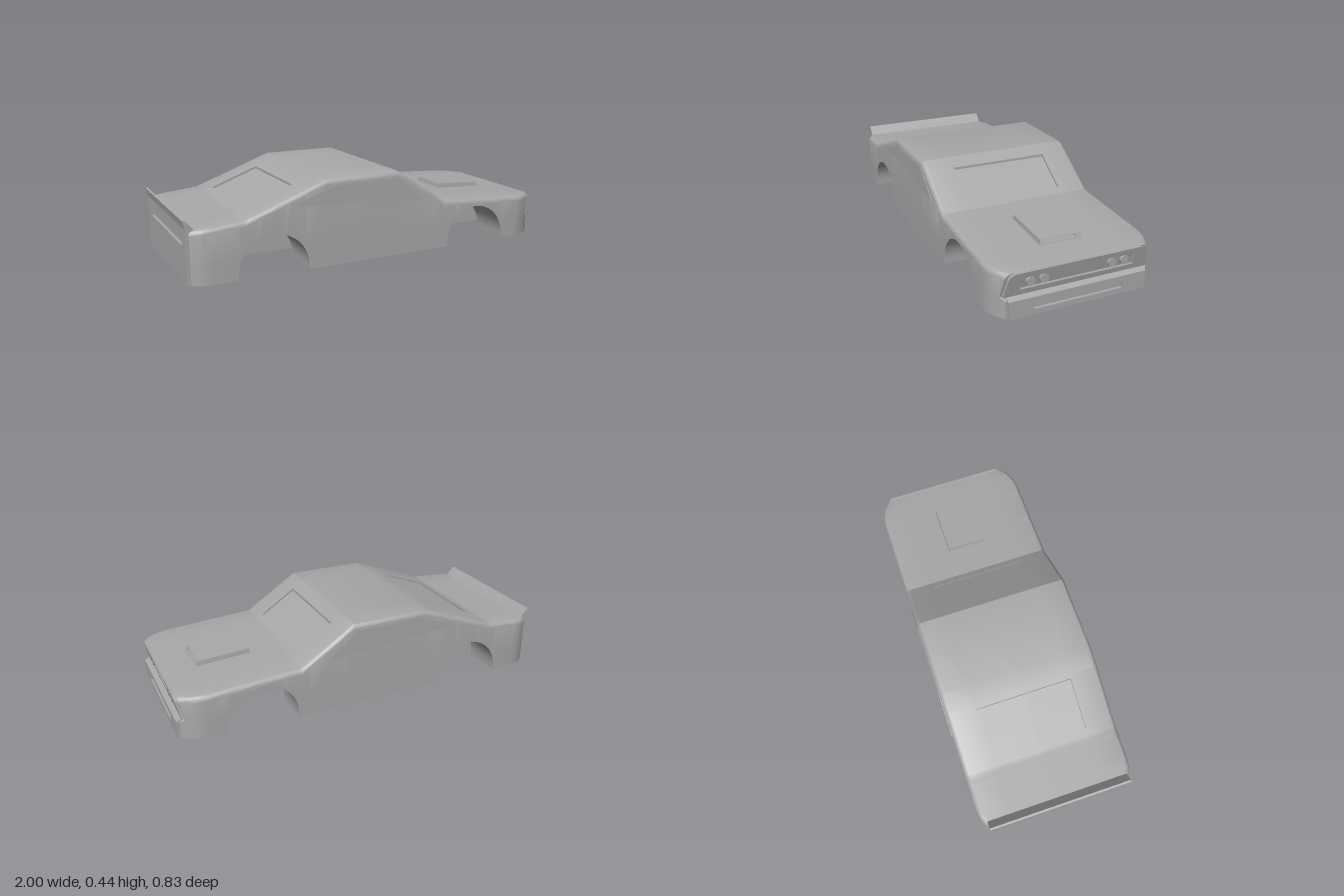
import * as THREE from 'three';
import { toCreasedNormals } from 'three/addons/utils/BufferGeometryUtils.js';

const paint = new THREE.MeshStandardMaterial({ color: 0xa8a8a8 });
paint.name = 'primer grey';

const ROOF = [[-1, 0.262], [-0.95, 0.264], [-0.72, 0.283], [-0.3, 0.437], [0.1, 0.437],
  [0.38, 0.255], [0.98, 0.217], [1, 0.215]];
const ARCHES = [-0.58, 0.585], ARCH_R = 0.18, ARCH_Y = 0.02;
const WINDOWS = [[-0.67, -0.42], [0.16, 0.345]];
const PANEL = 0.015; // thickness of the nose and tail panels

// piecewise linear lookup
function lerpTable(table, x) {
  for (let i = 1; i < table.length; i++) {
    const [x0, y0] = table[i - 1], [x1, y1] = table[i];
    if (x <= x1) return y0 + (y1 - y0) * (x - x0) / (x1 - x0);
  }
  return table[table.length - 1][1];
}
// half width in plan, drawn in at the nose and the tail
function halfWidth(x) {
  if (x > 0.85) return 0.41 - 0.065 * ((x - 0.85) / 0.15) ** 2;
  if (x < -0.88) return 0.41 - 0.045 * ((-0.88 - x) / 0.11) ** 2;
  return 0.41;
}
// lower edge of the body side, lifted over the wheels
function sillHeight(x) {
  for (const c of ARCHES) {
    const d = Math.abs(x - c);
    if (d < ARCH_R) return ARCH_Y + Math.sqrt(ARCH_R * ARCH_R - d * d);
  }
  return 0;
}
// outline of the nose seen from the side
const noseX = y => lerpTable([[0, 1], [0.085, 1], [0.1, 0.975], [0.215, 1]], y);

// half of one cross-section, from the floor centre out and up to the roof centre
function section(x, isNose) {
  const floor = Math.abs(x) < 0.92 ? 0.05 : 0;
  const sill = sillHeight(x), top = lerpTable(ROOF, x), r = 0.028;
  const dip = WINDOWS.some(([a, b]) => x > a && x < b) ? 0.012 : 0;
  const pts = [];
  const add = (y, inset, fixedZ) => {
    const px = isNose ? noseX(y) - PANEL : x;
    pts.push([px, y, fixedZ ?? halfWidth(px) - inset]);
  };
  add(floor, 0, 0);
  add(floor, 0, 0.2);
  add(sill, 0, 0.2);
  for (const y of [0, 0.085, 0.1]) add(Math.max(sill, y), 0);
  for (let i = 0; i <= 6; i++) {
    const a = i / 6 * Math.PI / 2;
    add(top - r + r * Math.sin(a), r - r * Math.cos(a));
  }
  add(top, 0, 0.255);
  add(top - dip, 0, 0.255);
  add(top - dip, 0, 0);
  return pts;
}

function bodyGeometry() {
  const e = 0.0004, xs = [-0.99 + PANEL, -0.95, -0.92, -0.88, -0.72, -0.3, 0.1, 0.38, 0.85, 0.88, 0.91, 0.935, 0.955, 1];
  for (const x of [-0.92, 0.92, ...WINDOWS.flat()]) xs.push(x - e, x + e);
  for (const c of ARCHES) {
    xs.push(c - ARCH_R - e, c + ARCH_R + e);
    for (let i = 0; i <= 24; i++) xs.push(c - (ARCH_R - e / 10) * Math.cos(i / 24 * Math.PI));
  }
  xs.sort((a, b) => a - b);
  const halves = xs.map((x, i) => section(x, i === xs.length - 1));
  const flip = ([x, y, z]) => [x, y, -z];
  const rings = halves.map(h => [...h, ...h.map(flip).reverse()]);

  const pos = [], A = new THREE.Vector3(), B = new THREE.Vector3(), C = new THREE.Vector3();
  const tri = (a, b, c) => {
    A.fromArray(a); B.fromArray(b).sub(A); C.fromArray(c).sub(A);
    if (B.cross(C).length() > 1e-10) pos.push(...a, ...b, ...c);
  };
  const quad = (a, b, c, d) => { tri(a, b, c); tri(a, c, d); };
  for (let i = 0; i < rings.length - 1; i++) {
    const p = rings[i], q = rings[i + 1];
    for (let k = 0; k < p.length; k++) {
      const n = (k + 1) % p.length;
      quad(p[k], q[k], q[n], p[n]);
    }
  }
  // close both ends
  const tail = halves[0], nose = halves[halves.length - 1];
  for (let k = 3; k < nose.length - 1; k++) {
    quad(flip(nose[k]), flip(nose[k + 1]), nose[k + 1], nose[k]);
    quad(tail[k], tail[k + 1], flip(tail[k + 1]), flip(tail[k]));
  }
  const g = new THREE.BufferGeometry();
  g.setAttribute('position', new THREE.Float32BufferAttribute(pos, 3));
  return toCreasedNormals(g, 0.5);
}

const polygon = pts => new THREE.Shape(pts.map(p => new THREE.Vector2(...p)));
const extrude = (shape, depth) => new THREE.ExtrudeGeometry(shape, { depth, bevelEnabled: false });
// symmetric end panel with a rectangular opening; outline is the right half, bottom to top
function endPanel(half, holeZ, holeY0, holeY1) {
  const shape = polygon([...half, ...half.map(([u, v]) => [-u, v]).reverse()]);
  shape.holes.push(new THREE.Path([[-holeZ, holeY0], [-holeZ, holeY1], [holeZ, holeY1], [holeZ, holeY0]]
    .map(p => new THREE.Vector2(...p))));
  return extrude(shape, PANEL);
}
// move each point in x by a rule of its height
function shiftX(g, rule) {
  const p = g.attributes.position;
  for (let i = 0; i < p.count; i++) p.setX(i, p.getX(i) + rule(p.getY(i)));
  g.computeVertexNormals();
  return g;
}

export function createModel() {
  const car = new THREE.Group();
  car.name = 'carBody';
  const add = (name, geometry, x = 0, y = 0, z = 0) => {
    const m = new THREE.Mesh(geometry, paint);
    m.name = name;
    m.position.set(x, y, z);
    car.add(m);
    return m;
  };

  add('bodyShell', bodyGeometry());

  // nose: bumper with air slot, leaning grille panel with lamp recess
  add('frontBumper', endPanel([[0.348, 0], [0.348, 0.087]], 0.227, 0.027, 0.061)
    .rotateY(Math.PI / 2), 1 - PANEL);
  add('bumperLedge', extrude(polygon([[0.95, 0.08], [1, 0.085], [0.975, 0.1], [0.95, 0.1]]), 0.7), 0, 0, -0.35);
  add('grillePanel', shiftX(endPanel([[0.364, 0.1], [0.347, 0.19], [0.338, 0.206], [0.318, 0.215]], 0.288, 0.127, 0.187)
    .rotateY(Math.PI / 2), y => noseX(y) - PANEL));
  for (const z of [0.238, 0.172, -0.172, -0.238]) {
    add('headlamp', new THREE.CylinderGeometry(0.021, 0.021, 0.024, 28).rotateZ(-Math.PI / 2), 0.977, 0.16, z);
  }

  // tail: panel with lamp recess and a raised lip
  add('tailPanel', endPanel([[0.367, 0], [0.367, 0.268]], 0.3, 0.175, 0.215)
    .rotateY(-Math.PI / 2), -0.99 + PANEL);
  add('spoilerLip', extrude(polygon([[-0.95, 0.25], [-0.95, 0.264], [-0.99, 0.31], [-1, 0.308], [-0.99, 0.265], [-0.985, 0.25]]), 0.746),
    0, 0, -0.373);

  // side windows
  const glass = polygon([[0.25, 0.272], [0.09, 0.405], [-0.26, 0.405], [-0.5, 0.325]]);
  for (const side of [1, -1]) {
    add(side > 0 ? 'sideWindowFront' : 'sideWindowBack', extrude(glass, 0.004), 0, 0, side * 0.411 - 0.002);
  }

  // bonnet scoop: solid cheeks either side of a slotted middle
  const cheek = polygon([[0.54, 0.22], [0.55, 0.268], [0.815, 0.252], [0.829, 0.215]]);
  const mouth = polygon([[0.54, 0.22], [0.55, 0.268], [0.815, 0.252], [0.8173, 0.246],
    [0.785, 0.246], [0.785, 0.234], [0.8218, 0.234], [0.829, 0.215]]);
  add('scoopMouth', extrude(mouth, 0.16), 0, 0, -0.08);
  for (const side of [1, -1]) {
    // outer wall leans in towards the top
    const g = extrude(cheek, 0.03), p = g.attributes.position;
    for (let i = 0; i < p.count; i++) {
      const outer = p.getZ(i) > 0.01;
      if (side > 0 ? outer : !outer) p.setZ(i, p.getZ(i) - side * (p.getY(i) > 0.24 ? 0.005 : 0));
    }
    g.computeVertexNormals();
    add('scoopCheek', g, 0, 0, side > 0 ? 0.08 : -0.11);
  }
  return car;
}
